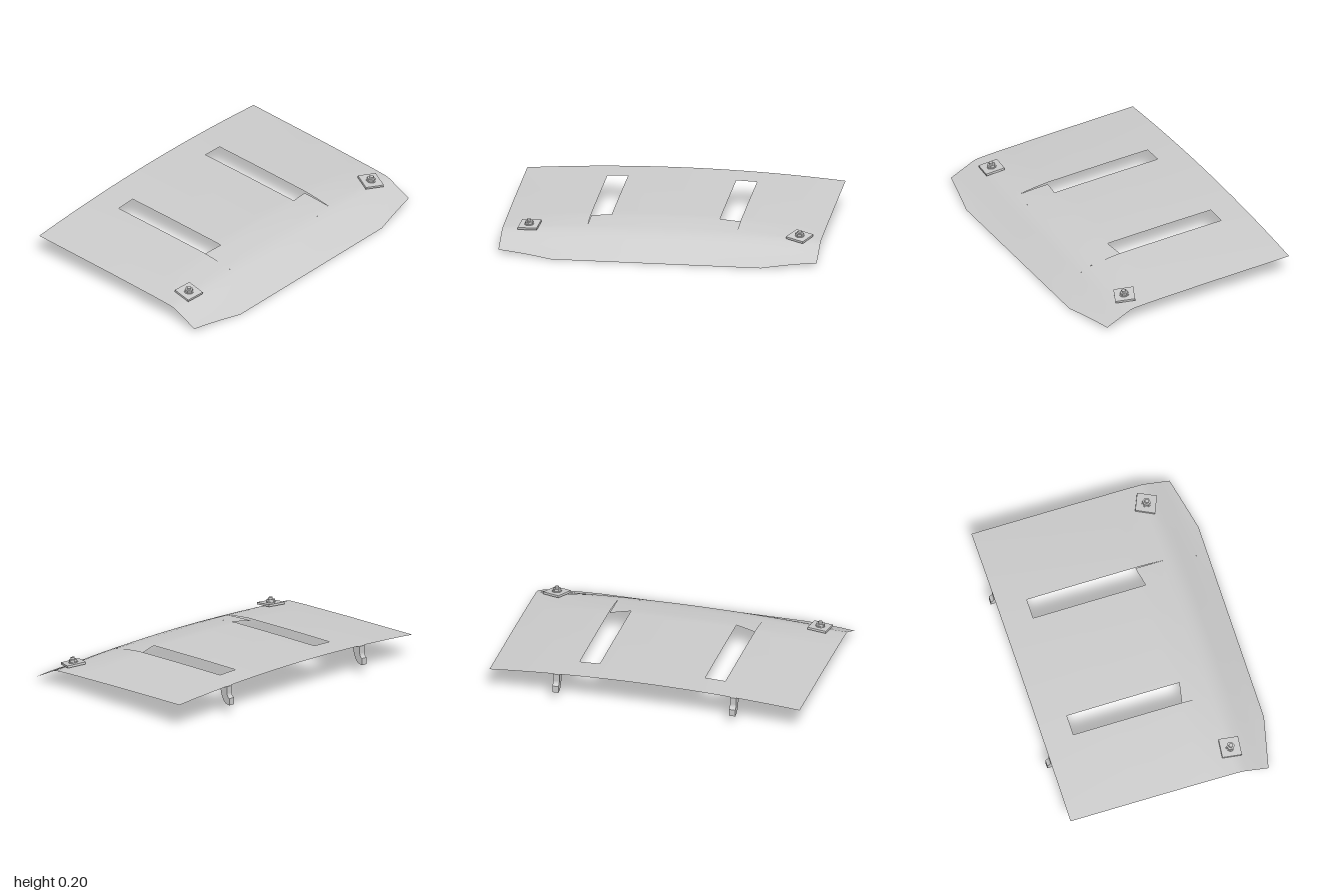
import * as THREE from 'three';

const mat = new THREE.MeshStandardMaterial({ color: 0xcccccc, side: THREE.DoubleSide });
const { lerp, clamp } = THREE.MathUtils;

// Height profiles [z, y] along the middle and along the side edges
const MIDDLE = [[-0.68, 0.2], [-0.2, 0.19], [0.235, 0.177], [0.33, 0.164], [0.43, 0.147], [0.49, 0.127], [0.695, 0.005]];
const EDGE = [[-0.68, 0.157], [-0.1, 0.138], [0.3, 0.121], [0.44, 0.112], [0.615, 0.028], [0.695, 0.005]];

function sample(profile, z) {
  let i = 0;
  while (i < profile.length - 2 && z > profile[i + 1][0]) i++;
  const [z0, y0] = profile[i], [z1, y1] = profile[i + 1];
  return lerp(y0, y1, (z - z0) / (z1 - z0));
}

// Crowned skin height, and the front edge with its clipped corners
const height = (x, z) => lerp(sample(MIDDLE, z), sample(EDGE, z), x * x);
const frontEdge = (x) => 0.695 - 0.08 * Math.max(0, (Math.abs(x) - 0.66) / 0.34);

// Sunken lip in front of each slot, open along its outer side
const lipHeight = (x, z) => {
  const across = clamp((Math.abs(x) - 0.34) / 0.13, 0, 1);
  const along = clamp((0.42 - z) / 0.2, 0, 1);
  return height(x, z) - 0.014 * across * along;
};

// Sheet over a list of x stations, between a rear and a front z limit
function panel(name, xs, rear, front, heightAt = height, rows = 40) {
  const pos = [], nor = [], idx = [];
  const e = 0.03;
  for (const x of xs) {
    for (let j = 0; j <= rows; j++) {
      const z = lerp(rear(x), front(x), j / rows);
      pos.push(x, heightAt(x, z), z);
      const n = new THREE.Vector3(
        height(x - e, z) - height(x + e, z), 2 * e,
        height(x, z - e) - height(x, z + e)).normalize();
      nor.push(n.x, n.y, n.z);
    }
  }
  for (let i = 0; i < xs.length - 1; i++) {
    for (let j = 0; j < rows; j++) {
      const a = i * (rows + 1) + j, b = a + rows + 1;
      idx.push(a, a + 1, b, b, a + 1, b + 1);
    }
  }
  const g = new THREE.BufferGeometry();
  g.setAttribute('position', new THREE.Float32BufferAttribute(pos, 3));
  g.setAttribute('normal', new THREE.Float32BufferAttribute(nor, 3));
  g.setIndex(idx);
  const mesh = new THREE.Mesh(g, mat);
  mesh.name = name;
  return mesh;
}

// Square plate with a hexagonal nut and a stud
function hoodPin(name, x, z, turn) {
  const pin = new THREE.Group();
  pin.name = name;
  const add = (part, geometry, y) => {
    const mesh = new THREE.Mesh(geometry, mat);
    mesh.name = part;
    mesh.position.y = y;
    pin.add(mesh);
  };
  const flat = (g) => { const f = g.toNonIndexed(); f.computeVertexNormals(); return f; };
  add('pinPlate', new THREE.BoxGeometry(0.122, 0.014, 0.125), 0);
  add('pinWasher', new THREE.CylinderGeometry(0.03, 0.03, 0.004, 20), 0.009);
  add('pinNut', flat(new THREE.CylinderGeometry(0.026, 0.026, 0.016, 6)), 0.018);
  add('pinStud', new THREE.CylinderGeometry(0.013, 0.013, 0.014, 14), 0.032);
  pin.position.set(x, height(x, z) + 0.012, z);
  pin.rotation.set(0.13, turn, -Math.sign(x) * 0.06);
  return pin;
}

// Curved hook below the rear edge, drawn as [-z, y]
function hinge(name, x) {
  const s = new THREE.Shape();
  s.moveTo(0.61, 0.182);
  s.lineTo(0.62, 0.155);
  s.quadraticCurveTo(0.635, 0.085, 0.668, 0.07);
  s.lineTo(0.699, 0.064);
  s.lineTo(0.699, 0.108);
  s.quadraticCurveTo(0.681, 0.118, 0.679, 0.135);
  s.lineTo(0.679, 0.182);
  const g = new THREE.ExtrudeGeometry(s, { depth: 0.04, bevelEnabled: false, curveSegments: 6 });
  g.translate(0, 0, -0.02).rotateY(Math.PI / 2);
  const mesh = new THREE.Mesh(g, mat);
  mesh.name = name;
  mesh.position.x = x;
  return mesh;
}

export function createModel() {
  const model = new THREE.Group();
  model.name = 'hood';
  const back = () => -0.68;
  const slotBack = () => -0.49;
  const slotFront = (x) => lerp(0.245, 0.22, (Math.abs(x) - 0.34) / 0.13);

  // Middle skin between the slots
  const midStations = Array.from({ length: 13 }, (_, i) => lerp(-0.34, 0.34, i / 12));
  model.add(panel('middleSkin', midStations, back, frontEdge));

  for (const side of [1, -1]) {
    const label = side > 0 ? 'left' : 'right';
    const stations = (list) => list.map((x) => x * side).sort((a, b) => a - b);
    const slot = stations([0.34, 0.383, 0.427, 0.47]);
    // Outer skin, then the strips behind and ahead of the slot
    model.add(panel(label + 'OuterSkin', stations([0.47, 0.53, 0.595, 0.66, 0.745, 0.83, 0.915, 1]), back, frontEdge));
    model.add(panel(label + 'SlotRearStrip', slot, back, slotBack, height, 8));
    model.add(panel(label + 'SlotLip', slot, slotFront, frontEdge, lipHeight, 30));
    model.add(hinge(label + 'Hinge', 0.57 * side));
  }

  // Hood pins, each turned a little differently
  model.add(hoodPin('rightHoodPin', -0.832, 0.418, -0.1));
  model.add(hoodPin('leftHoodPin', 0.865, 0.418, -0.42));
  return model;
}
